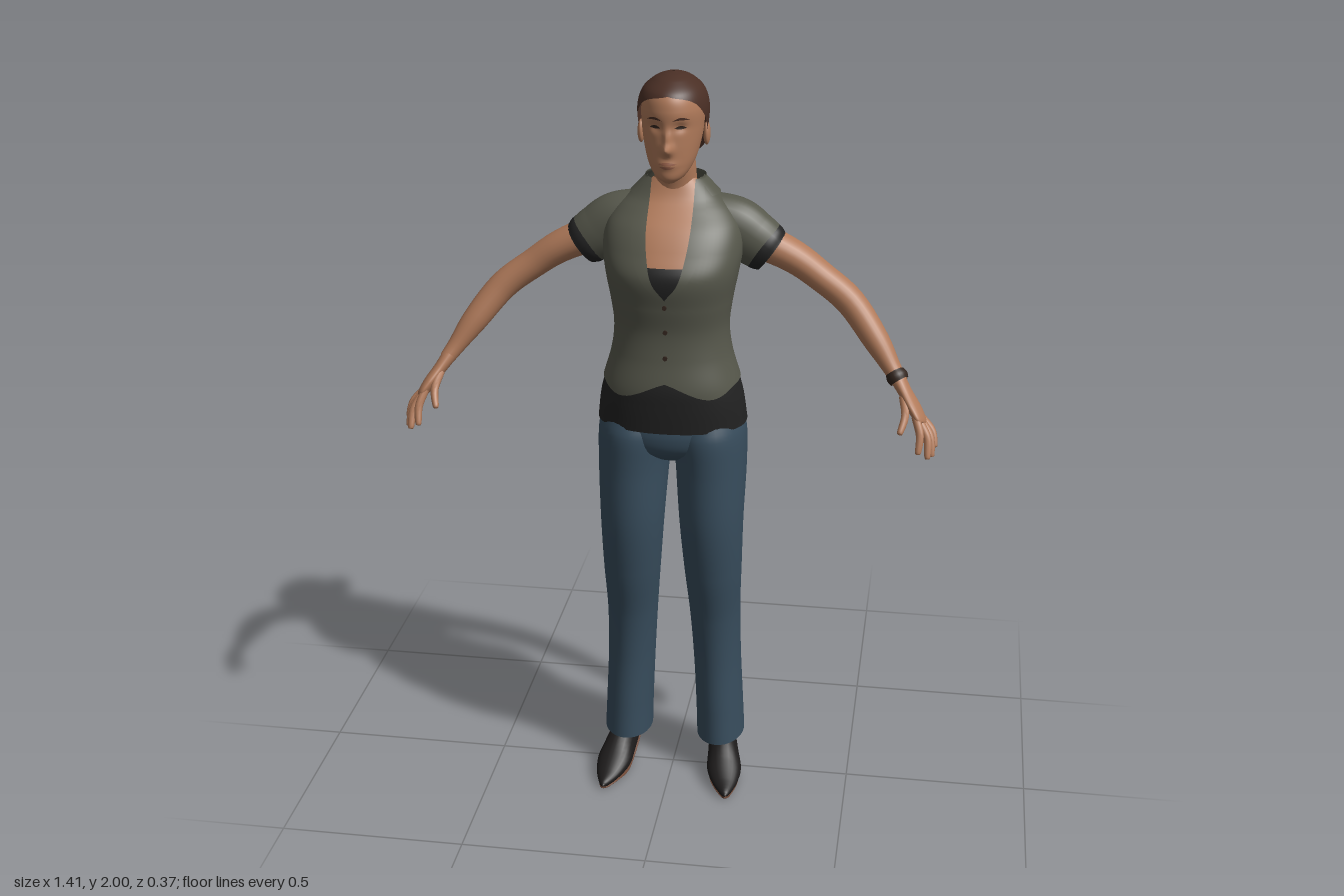
import * as THREE from 'three';
import { ParametricGeometry } from 'three/addons/geometries/ParametricGeometry.js';

const mat = (name, color, side = THREE.DoubleSide) => new THREE.MeshStandardMaterial({ name, color, side });

// Smooth table lookup: column 0 is the key, the rest are interpolated.
function at(rows, k) {
  const n = rows.length;
  k = Math.min(Math.max(k, rows[0][0]), rows[n - 1][0]);
  let i = 0;
  while (i < n - 2 && k > rows[i + 1][0]) i++;
  const b = rows[i], c = rows[i + 1], a = rows[i - 1] || b, d = rows[i + 2] || c;
  const h = c[0] - b[0], t = (k - b[0]) / h, t2 = t * t, t3 = t2 * t;
  return b.slice(1).map((_, j) => {
    j++;
    const m0 = (c[j] - a[j]) / (c[0] - a[0]) * h, m1 = (d[j] - b[j]) / (d[0] - b[0]) * h;
    return (2 * t3 - 3 * t2 + 1) * b[j] + (t3 - 2 * t2 + t) * m0 + (3 * t2 - 2 * t3) * c[j] + (t3 - t2) * m1;
  });
}

const surface = (f, su, sv) => new ParametricGeometry((u, v, p) => p.set(...f(u, v)), su, sv);

// Tube through points [x, y, z, radius along ref, radius across].
function limb(points, ref = [0, 0, 1], su = 24, sv = 28) {
  const rows = points.map((p, i) => [i, ...p]), n = points.length - 1;
  const R = new THREE.Vector3(...ref);
  return surface((u, v) => {
    const k = v * n, [x, y, z, ra, rb] = at(rows, k);
    const p = at(rows, k - 0.05), q = at(rows, k + 0.05);
    const T = new THREE.Vector3(q[0] - p[0], q[1] - p[1], q[2] - p[2]).normalize();
    const A = R.clone().addScaledVector(T, -R.dot(T)).normalize();
    const B = T.clone().cross(A), c = Math.cos(u * 2 * Math.PI) * ra, s = Math.sin(u * 2 * Math.PI) * rb;
    return [x + A.x * c + B.x * s, y + A.y * c + B.y * s, z + A.z * c + B.z * s];
  }, su, sv);
}

function mirrored(geo) {
  const g = geo.clone().applyMatrix4(new THREE.Matrix4().makeScale(-1, 1, 1));
  const ix = g.index.array;
  for (let i = 0; i < ix.length; i += 3) [ix[i], ix[i + 1]] = [ix[i + 1], ix[i]];
  return g;
}

// Point on an upright body: rows are [y, half width, front z, back z].
function ring(rows, th, y, off = 0, e = 1) {
  const [rx, zf, zb] = at(rows, y), s = Math.sin(th), c = Math.cos(th);
  return [Math.sign(s) * Math.abs(s) ** e * (rx + off), y,
    (zf + zb) / 2 + Math.sign(c) * Math.abs(c) ** e * ((zf - zb) / 2 + off)];
}

const TORSO = [[1.08, .197, .142, -.134], [1.15, .188, .147, -.124], [1.2, .176, .148, -.115], [1.28, .153, .135, -.098],
  [1.35, .145, .131, -.09], [1.42, .153, .142, -.1], [1.5, .168, .152, -.122], [1.56, .176, .123, -.132],
  [1.61, .168, .09, -.13], [1.65, .143, .052, -.122], [1.68, .11, .026, -.112], [1.725, .066, .006, -.098]];
const HEAD = [[1.735, .015, .082, .03], [1.75, .037, .098, 0], [1.78, .057, .1, -.04], [1.82, .07, .101, -.08],
  [1.87, .078, .1, -.1], [1.92, .079, .103, -.105], [1.96, .066, .088, -.095], [1.98, .045, .05, -.06], [1.988, .004, 0, -.01]];
const HAIR = [[1.75, .052, .06, -.094], [1.78, .066, .08, -.1], [1.82, .081, .1, -.112], [1.87, .088, .106, -.121],
  [1.92, .09, .109, -.122], [1.96, .077, .097, -.108], [1.985, .05, .062, -.075], [1.996, .025, .03, -.042], [2, .003, -.003, -.01]];
const HAIRLINE = [[0, 1.958], [.8, 1.94], [1.25, 1.895], [1.65, 1.835], [2.2, 1.79], [3.15, 1.768]];
const HEM = [[0, 1.222], [.6, 1.178], [1.2, 1.2], [1.6, 1.204], [3.15, 1.212]];
const NECKLINE = [[1.45, 0], [1.49, .03], [1.55, .047], [1.62, .055], [1.725, .052]];

const torso = (th, y, off) => ring(TORSO, th, y, off, .9);
const xAngle = (x, y) => Math.asin(Math.min(1, x / at(TORSO, y)[0]) ** (1 / .9));
const opening = y => y < 1.45 ? 0 : xAngle(at(NECKLINE, y)[0], y);
const fold = th => Math.min(th, 2 * Math.PI - th);

// Head with nose, eye sockets and mouth shaped in.
function head(th, y) {
  const p = ring(HEAD, th, y), x = p[0];
  if (Math.cos(th) < 0) return p;
  const bump = (x0, y0, sx, sy) => Math.exp(-(((x - x0) / sx) ** 2) - ((y - y0) / sy) ** 2);
  p[2] += .024 * bump(0, 1.826, .013, .014) + .012 * bump(0, 1.852, .01, .022) + .005 * bump(0, 1.785, .024, .012)
    - .007 * (bump(.032, 1.88, .016, .013) + bump(-.032, 1.88, .016, .013));
  return p;
}

// Thin tapered face detail lying on the head.
const decal = (x0, y0, w, h, bow) => surface((u, v) => {
  const x = x0 + (u - .5) * w;
  const y = y0 + (v - .5) * h * (Math.sin(Math.PI * u) + .08) + bow * Math.sin(Math.PI * u);
  const p = head(Math.asin(x / at(HEAD, y)[0]), y);
  p[2] += .002;
  return p;
}, 14, 4);

export function createModel() {
  const model = new THREE.Group();
  model.name = 'woman';
  const skin = mat('skin', 0xb07a5a), hair = mat('hair', 0x4a2f25), olive = mat('olive vest', 0x56574b),
    black = mat('black shirt', 0x222222), denim = mat('denim', 0x384d5d), leather = mat('shoe leather', 0x1d1b1b),
    sole = mat('shoe sole', 0x6e4836), lip = mat('lips', 0x96604a), dark = mat('eyes and buttons', 0x33261f);
  const add = (name, geo, m) => {
    const mesh = new THREE.Mesh(geo, m);
    mesh.name = name;
    model.add(mesh);
    return mesh;
  };
  const pair = (name, geo, m) => {
    add('left ' + name, geo, m);
    add('right ' + name, mirrored(geo), m);
  };
  const ball = (x, y, z, a, b, c) => new THREE.SphereGeometry(1, 24, 16).scale(a, b, c).translate(x, y, z);

  // Head, face and neck
  add('head', surface((u, v) => head(u * 2 * Math.PI, 1.735 + .253 * v), 80, 70), skin);
  add('neck', limb([[0, 1.62, -.05, .06, .07], [0, 1.7, -.044, .054, .057], [0, 1.76, -.032, .055, .053], [0, 1.82, -.02, .055, .05]]), skin);
  pair('ear', ball(.084, 1.845, -.012, .009, .03, .017).rotateZ(0), skin);
  pair('eye', decal(.032, 1.879, .028, .008, .001), dark);
  pair('eyebrow', decal(.034, 1.898, .04, .006, .005), hair);
  add('upper lip', decal(0, 1.789, .046, .008, .001), lip);
  add('lower lip', decal(0, 1.782, .04, .008, -.002), lip);

  // Hair swept back into a bun
  add('hair', surface((u, v) => {
    const th = u * 2 * Math.PI, lo = at(HAIRLINE, fold(th))[0];
    return ring(HAIR, th, lo + (2 - lo) * Math.sin(v * Math.PI / 2));
  }, 64, 32), hair);
  add('bun', ball(0, 1.815, -.128, .05, .037, .032), hair);
  add('bun knot', ball(0, 1.81, -.156, .03, .031, .029), hair);

  // Vest, open in a rounded V at the front
  add('vest', surface((u, v) => {
    const lo = at(HEM, fold(u * 2 * Math.PI))[0], y = lo + (1.725 - lo) * v, o = opening(y);
    return torso(o + (2 * Math.PI - 2 * o) * u, y, .006);
  }, 72, 60), olive);
  pair('lapel', surface((u, v) => {
    const y = 1.45 + .275 * v, x = at(NECKLINE, y)[0], w = .034 * Math.sin(Math.PI * (.08 + .8 * v));
    return torso(xAngle(Math.min(x + w * u, at(TORSO, y)[0] * .98), y), y, .011);
  }, 8, 30), olive);
  add('collar', surface((u, v) => {
    const y = 1.685 + .045 * v, o = 1.0;
    return torso(o + (2 * Math.PI - 2 * o) * u, y, .012);
  }, 40, 6), olive);
  for (const y of [1.43, 1.36, 1.29]) {
    const p = torso(0, y, .008);
    add('button', new THREE.CylinderGeometry(.006, .006, .006, 12).rotateX(Math.PI / 2).translate(...p), dark);
  }

  // Chest and black shirt below the vest
  add('chest', surface((u, v) => torso(-1.1 + 2.2 * u, 1.45 + .275 * v, -.005), 30, 24), skin);
  add('shirt neckline', surface((u, v) => torso(-.6 + 1.2 * u, 1.43 + .1 * v, 0), 20, 8), black);
  add('shirt hem', surface((u, v) => torso(u * 2 * Math.PI, 1.08 + .17 * v, .002), 64, 12), black);

  // Sleeves and arms
  pair('sleeve', limb([[.07, 1.62, -.05, .062, .066], [.15, 1.595, -.052, .066, .077], [.2, 1.565, -.05, .062, .073], [.235, 1.541, -.05, .058, .067]]), olive);
  pair('cuff', limb([[.205, 1.562, -.05, .057, .064], [.232, 1.543, -.05, .06, .068], [.25, 1.53, -.05, .056, .06]]), black);
  pair('arm', limb([[.18, 1.575, -.05, .05, .05], [.3, 1.523, -.05, .048, .043], [.38, 1.47, -.046, .043, .039], [.46, 1.41, -.028, .04, .038],
    [.53, 1.325, .01, .036, .034], [.575, 1.262, .04, .027, .024], [.6, 1.228, .058, .025, .02]]), skin);
  add('bracelet', limb([[.584, 1.251, .046, .029, .025], [.591, 1.241, .052, .032, .028], [.598, 1.231, .057, .029, .025]], [0, 0, 1], 24, 8), dark);

  // Hands
  pair('palm', limb([[.592, 1.238, .053, .025, .02], [.615, 1.205, .07, .031, .017], [.642, 1.168, .091, .04, .016],
    [.66, 1.14, .105, .036, .012], [.664, 1.133, .109, .004, .003]]), skin);
  const fingers = {
    thumb: [[.61, 1.2, .09], [.618, 1.165, .128], [.608, 1.13, .16]],
    'index finger': [[.645, 1.16, .124], [.658, 1.12, .147], [.656, 1.08, .166]],
    'middle finger': [[.65, 1.152, .108], [.676, 1.11, .132], [.68, 1.065, .155]],
    'ring finger': [[.655, 1.147, .094], [.683, 1.108, .115], [.69, 1.064, .135]],
    'little finger': [[.657, 1.146, .08], [.687, 1.115, .094], [.696, 1.08, .112]],
  };
  for (const [name, [a, b, c]] of Object.entries(fingers)) {
    const tip = c.map((v, i) => v + (v - b[i]) * .12);
    pair(name, limb([[...a, .011, .011], [...b, .0105, .0105], [...c, .008, .008], [...tip, .001, .001]], [0, 0, 1], 10, 14), skin);
  }

  // Jeans
  add('jeans seat', limb([[0, 1.13, .005, .12, .18], [0, 1.06, .002, .13, .192], [0, 1.01, 0, .115, .165], [0, .975, 0, .07, .07], [0, .955, 0, .005, .005]], [0, 0, 1], 48), denim);
  pair('jeans leg', limb([[.095, 1.12, .005, .112, .085], [.1, 1.05, .003, .132, .098], [.105, .95, .008, .125, .095], [.108, .8, .022, .107, .087],
    [.112, .65, .01, .095, .079], [.116, .5, -.016, .088, .07], [.122, .35, -.031, .088, .066], [.129, .2, -.036, .094, .066], [.133, .1, -.037, .098, .067]], [0, 0, 1], 36, 48), denim);

  // Heeled shoes with pointed toes
  const shoe = [[.13, .075, -.112, .012, .012], [.132, .085, -.095, .042, .032], [.138, .078, -.04, .052, .037], [.148, .057, .02, .049, .043],
    [.158, .036, .08, .033, .048], [.166, .022, .13, .02, .035], [.172, .014, .172, .011, .014], [.173, .013, .185, .002, .002]];
  pair('shoe', limb(shoe, [0, 1, 0]), leather);
  pair('shoe sole', limb(shoe.slice(1).map(([x, y, z, a, b]) => [x, Math.max(y - a, .004), z, .004, b * .85]), [0, 1, 0]), sole);
  pair('shoe heel', new THREE.CylinderGeometry(.022, .007, .065, 14).translate(.132, .0325, -.092), leather);
  pair('ankle', limb([[.133, .3, -.03, .04, .035], [.134, .1, -.04, .04, .033]], [0, 0, 1], 16, 4), skin);
  return model;
}
